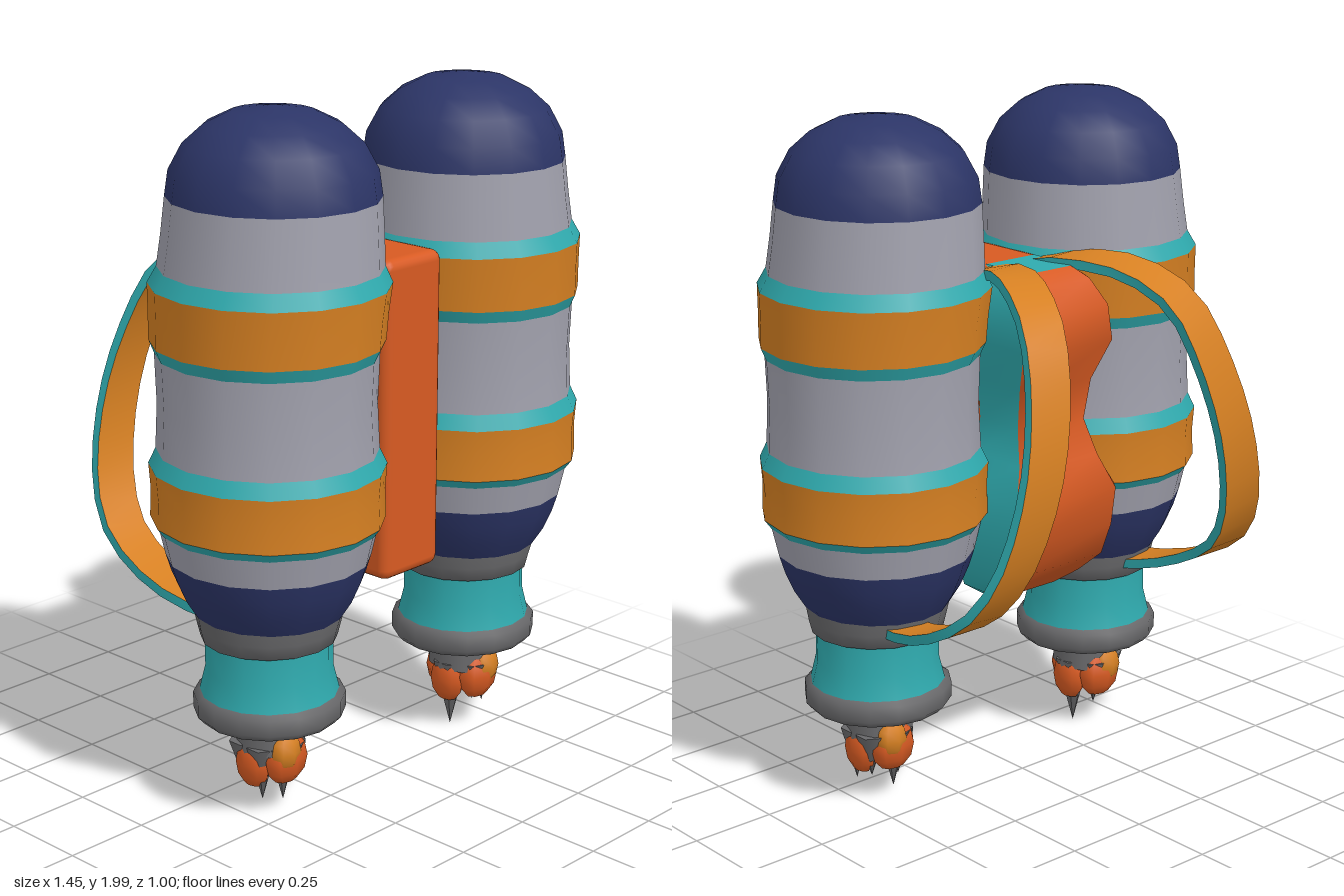
import * as THREE from 'three';
import { RoundedBoxGeometry } from 'three/addons/geometries/RoundedBoxGeometry.js';

const mat = (name, color) => {
  const m = new THREE.MeshStandardMaterial({ color });
  m.name = name;
  return m;
};

export function createModel() {
  const navy = mat('navy', 0x2c3567);
  const silver = mat('silver', 0xa2a2ae);
  const amber = mat('amber', 0xd68022);
  const orange = mat('burnt orange', 0xd75a22);
  const teal = mat('teal', 0x2faaae);
  const iron = mat('iron grey', 0x68686a);
  const root = new THREE.Group();
  root.name = 'jetpack';

  const add = (parent, name, geo, material) => {
    const mesh = new THREE.Mesh(geo, material);
    mesh.name = name;
    parent.add(mesh);
    return mesh;
  };

  // Skin a list of rings; each side strip has its own material, ends are capped.
  const loft = (rings, mats, capMat) => {
    const pos = [], idx = [], n = rings[0].length;
    const geo = new THREE.BufferGeometry();
    for (let j = 0; j < n; j++) {
      const base = pos.length / 3, start = idx.length;
      rings.forEach(r => pos.push(...r[j].toArray(), ...r[(j + 1) % n].toArray()));
      for (let i = 0; i < rings.length - 1; i++) {
        const a = base + i * 2;
        idx.push(a, a + 1, a + 3, a, a + 3, a + 2);
      }
      geo.addGroup(start, idx.length - start, j);
    }
    const start = idx.length;
    [[...rings[0]].reverse(), rings[rings.length - 1]].forEach(ring => {
      const base = pos.length / 3;
      ring.forEach(p => pos.push(...p.toArray()));
      for (let k = 1; k < n - 1; k++) idx.push(base, base + k, base + k + 1);
    });
    geo.addGroup(start, idx.length - start, n);
    geo.setAttribute('position', new THREE.Float32BufferAttribute(pos, 3));
    geo.setIndex(idx);
    geo.computeVertexNormals();
    return { geo, materials: [...mats, capMat] };
  };

  // Tank and nozzle sections from bottom to top: name, material, [y, radius] points
  const sections = [
    ['nozzleInside', navy, [[0.4, 0], [0.4, 0.16]]],
    ['nozzleRim', iron, [[0.4, 0.16], [0.3, 0.165], [0.295, 0.195], [0.315, 0.213], [0.36, 0.213], [0.375, 0.19]]],
    ['nozzle', teal, [[0.37, 0.195], [0.44, 0.178], [0.53, 0.177]]],
    ['collar', iron, [[0.525, 0.17], [0.53, 0.19], [0.57, 0.2], [0.61, 0.205]]],
    ['tankBase', navy, [[0.6, 0.2], [0.66, 0.237], [0.72, 0.262], [0.77, 0.277]]],
    ['lowerShell', silver, [[0.77, 0.277], [0.86, 0.297]]],
    ['lowerTrimBottom', teal, [[0.855, 0.297], [0.88, 0.315]]],
    ['lowerBand', amber, [[0.88, 0.315], [0.96, 0.312], [1.03, 0.317]]],
    ['lowerTrimTop', teal, [[1.03, 0.317], [1.075, 0.296]]],
    ['middleShell', silver, [[1.07, 0.297], [1.2, 0.291], [1.345, 0.296]]],
    ['upperTrimBottom', teal, [[1.34, 0.296], [1.375, 0.311]]],
    ['upperBand', amber, [[1.375, 0.311], [1.45, 0.314], [1.53, 0.32]]],
    ['upperTrimTop', teal, [[1.53, 0.32], [1.575, 0.297]]],
    ['upperShell', silver, [[1.57, 0.298], [1.66, 0.29], [1.76, 0.282]]],
    ['dome', navy, [[1.76, 0.282], [1.83, 0.272], [1.9, 0.235], [1.95, 0.18], [1.985, 0.11], [2.0, 0]]],
  ];

  const tank = (s, label) => {
    const g = new THREE.Group();
    g.name = label + 'Tank';
    g.position.set(0.41 * s, 0, 0.167);
    sections.forEach(([name, material, pts]) => {
      const geo = new THREE.LatheGeometry(pts.map(([y, r]) => new THREE.Vector2(r, y)), 16);
      const p = geo.attributes.position;
      // lean the top inward and deepen the barrel a little
      for (let i = 0; i < p.count; i++) {
        const y = p.getY(i), lean = 0.03 * THREE.MathUtils.smoothstep(y, 1.3, 1.8);
        p.setX(i, p.getX(i) - lean * s);
        p.setZ(i, p.getZ(i) * (y > 0.6 ? 1.04 : 1));
      }
      add(g, name, geo, material);
    });

    // Exhaust: a stem, jagged spikes and glowing flame lobes
    const flame = new THREE.Group();
    flame.name = 'exhaust';
    g.add(flame);
    add(flame, 'exhaustStem', new THREE.CylinderGeometry(0.085, 0.1, 0.2, 8), iron).position.set(0, 0.3, 0);
    const spike = (x, z, r, tip) => {
      const h = 0.22 - tip;
      const m = add(flame, 'exhaustSpike', new THREE.ConeGeometry(r, h, 6), iron);
      m.rotation.x = Math.PI;
      m.position.set(x, tip + h / 2, z);
    };
    spike(-0.05 * s, 0, 0.055, 0.01);
    spike(0.06 * s, 0.03, 0.045, 0.06);
    spike(0.06 * s, -0.04, 0.045, 0.09);
    spike(-0.02 * s, 0.06, 0.045, 0.1);
    spike(-0.02 * s, -0.06, 0.045, 0.08);
    const lobe = (x, y, z, w, h, d, material) => {
      const m = add(flame, 'flameLobe', new THREE.SphereGeometry(1, 8, 6), material);
      m.scale.set(w, h, d);
      m.position.set(x, y, z);
    };
    for (const z of [1, -1]) {
      lobe(0, 0.18, 0.06 * z, 0.075, 0.08, 0.05, orange);
      lobe(0.015 * s, 0.205, 0.075 * z, 0.05, 0.06, 0.04, amber);
    }
    for (const x of [1, -1]) lobe(0.065 * x, 0.165, 0, 0.04, 0.075, 0.06, orange);
    root.add(g);
  };

  // Shoulder strap: flat ribbon along a curve, amber faces with teal edges
  const strapPath = [
    [0.11, 1.54, 0.04], [0.13, 1.565, -0.08], [0.2, 1.55, -0.24], [0.26, 1.47, -0.37],
    [0.31, 1.3, -0.45], [0.37, 1.08, -0.485], [0.43, 0.86, -0.45], [0.465, 0.73, -0.37],
    [0.475, 0.65, -0.25], [0.465, 0.595, -0.11], [0.44, 0.57, 0.02],
  ];
  const strap = (s, label) => {
    const curve = new THREE.CatmullRomCurve3(strapPath.map(([x, y, z]) => new THREE.Vector3(x * s, y, z)));
    const rings = [];
    for (let i = 0; i <= 20; i++) {
      const p = curve.getPointAt(i / 20), t = curve.getTangentAt(i / 20);
      const out = new THREE.Vector3(0, p.y - 1.07, p.z + 0.05);
      out.addScaledVector(t, -out.dot(t)).normalize();
      const side = new THREE.Vector3().crossVectors(t, out);
      rings.push([[1, -1], [1, 1], [-1, 1], [-1, -1]].map(([o, w]) =>
        p.clone().addScaledVector(out, o * 0.014).addScaledVector(side, w * 0.064)));
    }
    const { geo, materials } = loft(rings, [amber, teal, amber, teal], teal);
    add(root, label + 'Strap', geo, materials);
  };

  [[1, 'left'], [-1, 'right']].forEach(([s, label]) => {
    tank(s, label);
    strap(s, label);
  });

  // Central spine between the tanks, slightly waisted
  const spine = new RoundedBoxGeometry(0.23, 0.92, 0.31, 2, 0.03);
  add(root, 'spine', spine, orange).position.set(0, 1.1, 0.175);

  // Contoured back pad: [y, half width, rear z]
  const padProfile = [
    [0.59, 0.12, -0.03], [0.63, 0.18, -0.08], [0.7, 0.2, -0.16], [0.8, 0.2, -0.2], [0.92, 0.185, -0.23],
    [1.02, 0.14, -0.19], [1.12, 0.115, -0.155], [1.24, 0.125, -0.175], [1.36, 0.16, -0.23],
    [1.46, 0.15, -0.22], [1.53, 0.12, -0.17], [1.56, 0.09, -0.12],
  ];
  const padRings = padProfile.map(([y, w, z]) =>
    [[-w, 0.05], [w, 0.05], [w, z + 0.045], [w * 0.82, z], [-w * 0.82, z], [-w, z + 0.045]]
      .map(([x, d]) => new THREE.Vector3(x, y, d)));
  const pad = loft(padRings, [teal, teal, orange, orange, orange, teal], teal);
  add(root, 'backPad', pad.geo, pad.materials);

  return root;
}
